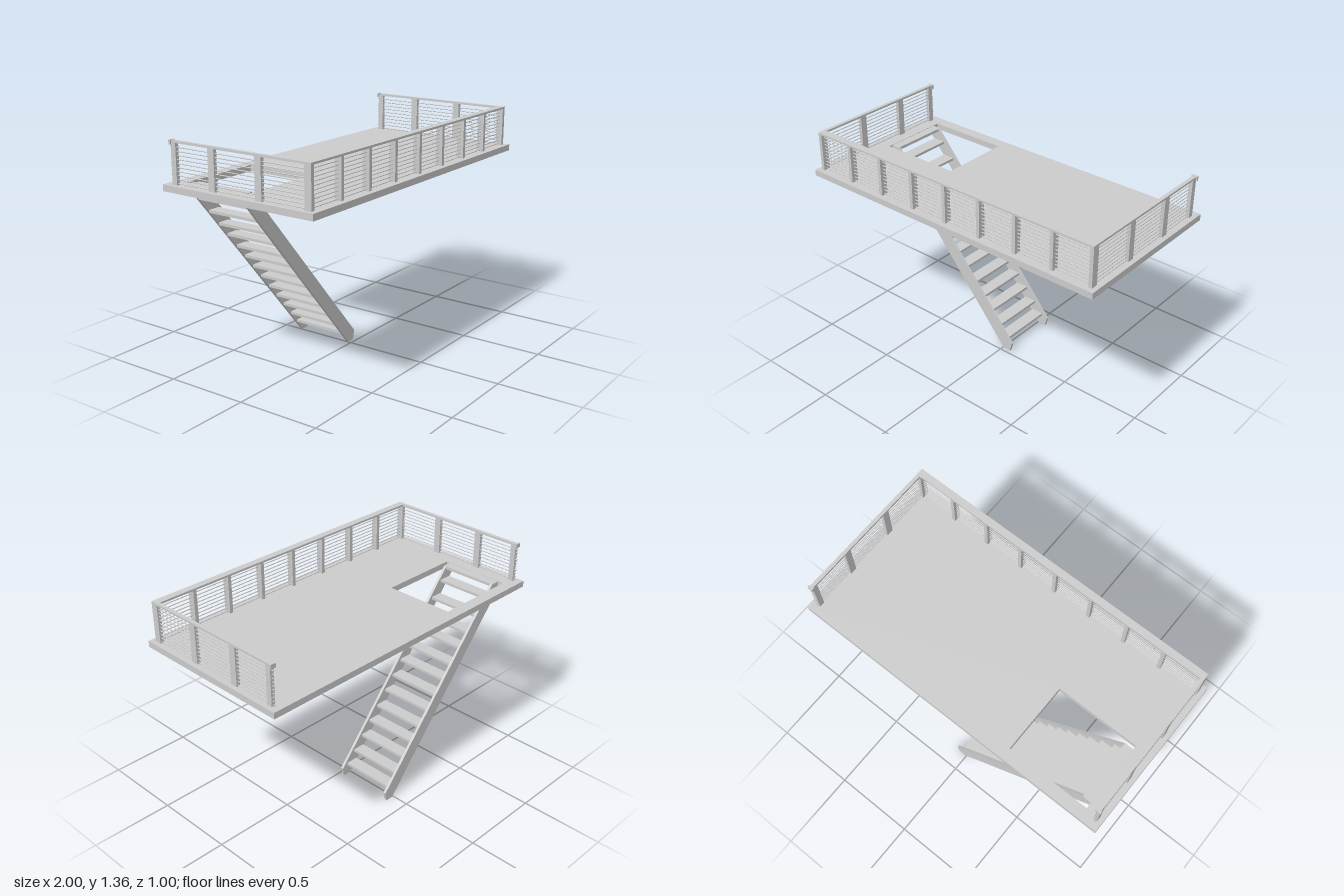
import * as THREE from 'three';

const DECK_BOTTOM = 1.08, DECK_TOP = 1.117;
const RAIL_X = 0.962, RAIL_Z = 0.449, BACK_Z = -0.437;

export function createModel() {
  const model = new THREE.Group();
  const material = new THREE.MeshStandardMaterial({ color: 0xcccccc, flatShading: true });

  function add(parent, name, geometry) {
    const mesh = new THREE.Mesh(geometry, material);
    mesh.name = name;
    parent.add(mesh);
    return mesh;
  }
  // Box given by its lowest and highest corners
  function box(parent, name, [x0, y0, z0], [x1, y1, z1]) {
    const mesh = add(parent, name, new THREE.BoxGeometry(x1 - x0, y1 - y0, z1 - z0));
    mesh.position.set((x0 + x1) / 2, (y0 + y1) / 2, (z0 + z1) / 2);
    return mesh;
  }
  function group(name) {
    const g = new THREE.Group();
    g.name = name;
    model.add(g);
    return g;
  }
  const polygon = (points) => points.map(([x, y]) => new THREE.Vector2(x, y));

  // Deck slab with the stair opening (shape y becomes -z)
  const slab = new THREE.Shape(polygon([[-1, -0.5], [1, -0.5], [1, 0.5], [-1, 0.5]]));
  slab.holes.push(new THREE.Path(polygon([[-0.89, 0], [-0.89, 0.43], [-0.38, 0.43], [-0.38, 0]])));
  const slabGeometry = new THREE.ExtrudeGeometry(slab, { depth: DECK_TOP - DECK_BOTTOM, bevelEnabled: false });
  slabGeometry.rotateX(-Math.PI / 2).translate(0, DECK_BOTTOM, 0);
  add(model, 'deck', slabGeometry);

  // Stair: two slanted stringers, cut level at the deck and the floor
  const stair = group('stair');
  const profile = new THREE.Shape(polygon([
    [0.006, 0], [0.056, 0], [0.069, 0.055], [-0.836, 1.115], [-0.89, 1.115], [-0.89, 1.06],
  ]));
  for (const z of [-0.393, -0.04]) {
    const stringer = new THREE.ExtrudeGeometry(profile, { depth: 0.016, bevelEnabled: false });
    stringer.translate(0, 0, z);
    add(stair, 'stringer', stringer);
  }
  // Upper stringer corners tucked under the deck
  const toe = new THREE.Shape(polygon([[-0.889, 1.059], [-0.889, 1.081], [-0.905, 1.081]]));
  for (const z of [-0.393, -0.04]) {
    const tip = new THREE.ExtrudeGeometry(toe, { depth: 0.016, bevelEnabled: false });
    add(stair, 'stringerTip', tip.translate(0, 0, z));
  }

  // Treads, following the slope
  const treadHeights = [0.072, 0.143, 0.222, 0.3, 0.377, 0.46, 0.538, 0.617, 0.693, 0.778, 0.855, 0.942, 1.033];
  for (const y of treadHeights) {
    const front = 0.092 - y * 0.853;
    box(stair, 'tread', [front - 0.078, y - 0.008, -0.377], [front, y + 0.008, -0.04]);
  }
  box(stair, 'topTread', [-0.89, 1.098, -0.377], [-0.834, 1.115, -0.04]);

  // Railing posts along the front and both sides
  const railing = group('railing');
  function post(x, z, depth = 0.042) {
    box(railing, 'post', [x - 0.011, DECK_TOP, z - depth / 2], [x + 0.011, 1.345, z + depth / 2]);
  }
  for (let i = 0; i <= 8; i++) post(-RAIL_X + (i * RAIL_X) / 4, RAIL_Z);
  for (const x of [-RAIL_X, RAIL_X]) {
    post(x, 0.137);
    post(x, -0.174);
    post(x, BACK_Z, 0.033);
  }

  // Handrails, with a small cap at each open end
  box(railing, 'frontHandrail', [-0.973, 1.343, 0.427], [0.973, 1.355, 0.471]);
  for (const x of [-RAIL_X, RAIL_X]) {
    box(railing, 'sideHandrail', [x - 0.011, 1.343, -0.454], [x + 0.011, 1.355, 0.427]);
    box(railing, 'handrailCap', [x - 0.017, 1.332, -0.464], [x + 0.017, 1.357, -0.45]);
  }

  // Horizontal wires
  for (let i = 0; i < 10; i++) {
    const y = 1.125 + i * 0.0216;
    const front = add(railing, 'frontWire', new THREE.CylinderGeometry(0.003, 0.003, 2 * RAIL_X, 8));
    front.rotation.z = Math.PI / 2;
    front.position.set(0, y, RAIL_Z);
    for (const x of [-RAIL_X, RAIL_X]) {
      const side = add(railing, 'sideWire', new THREE.CylinderGeometry(0.003, 0.003, RAIL_Z + 0.466, 8));
      side.rotation.x = Math.PI / 2;
      side.position.set(x, y, (RAIL_Z - 0.466) / 2);
    }
  }
  return model;
}
